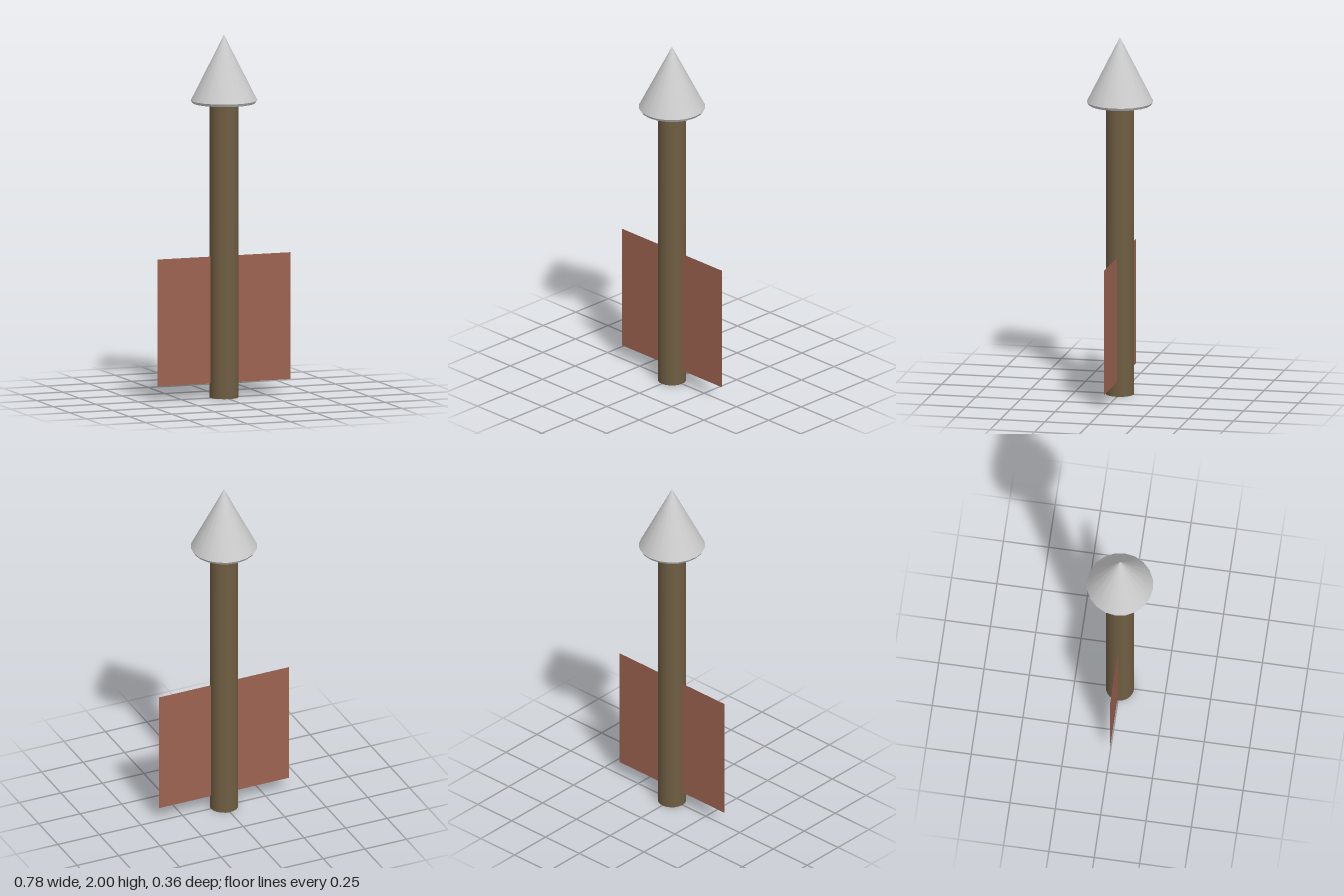
import * as THREE from 'three';

export function createModel() {
  const model = new THREE.Group();
  const add = (name, geometry, color, y, side = THREE.FrontSide) => {
    const mesh = new THREE.Mesh(geometry, new THREE.MeshStandardMaterial({ color, side }));
    mesh.name = name;
    mesh.position.y = y;
    model.add(mesh);
  };

  // Wooden shaft, running up into the underside of the head
  add('shaft', new THREE.CylinderGeometry(0.078, 0.078, 1.63, 20), 0x6f5d42, 0.815);

  // Pointed head with a slim bevelled rim and flat underside
  add('headPoint', new THREE.ConeGeometry(0.182, 0.36, 20, 1, true), 0xcccccc, 1.82);
  add('headRim', new THREE.CylinderGeometry(0.182, 0.173, 0.015, 20), 0xcccccc, 1.6325);

  // Thin flat fletching passing through the shaft
  add('fletching', new THREE.PlaneGeometry(0.78, 0.7), 0x9c6350, 0.43, THREE.DoubleSide);

  return model;
}
